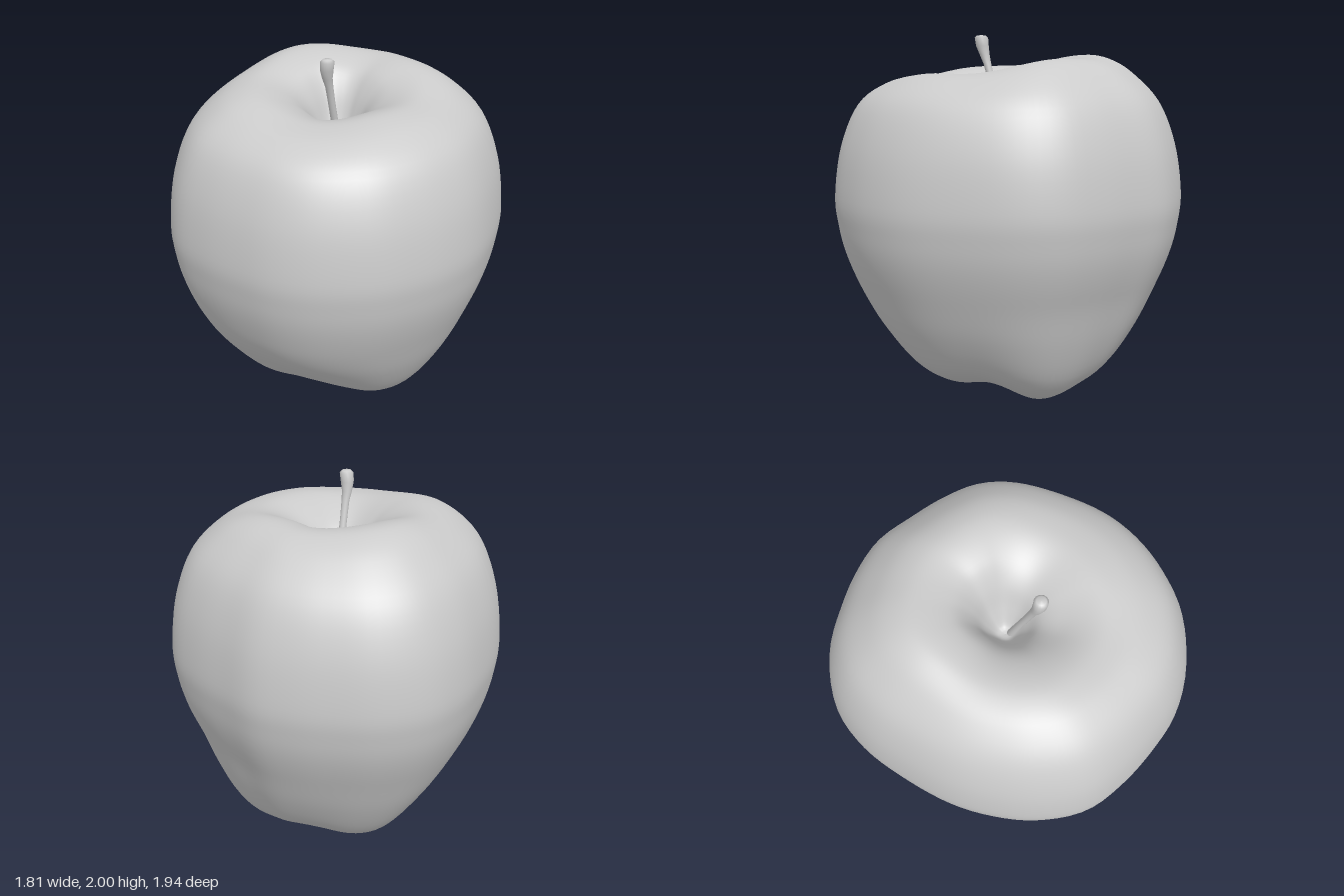
import * as THREE from 'three';

const SIDES = 96;

// Skins a list of rings (top to bottom, each running from +x towards +z) smoothly.
function loft(rings) {
  const n = rings[0].length;
  const index = [];
  for (let j = 0; j < rings.length - 1; j++) {
    for (let i = 0; i < n; i++) {
      const k = (i + 1) % n;
      const a = j * n + i, b = j * n + k, c = a + n, d = b + n;
      index.push(a, b, c, b, d, c);
    }
  }
  const geometry = new THREE.BufferGeometry().setFromPoints(rings.flat());
  geometry.setIndex(index);
  geometry.computeVertexNormals();
  return geometry;
}

// Widest horizontal outline of the fruit, as [x, z]
const outline = new THREE.CatmullRomCurve3([
  [0.9, 0.05], [0.87, 0.3], [0.79, 0.5], [0.68, 0.66], [0.5, 0.83], [0.22, 0.95],
  [0, 0.97], [-0.2, 0.93], [-0.45, 0.84], [-0.66, 0.71], [-0.81, 0.48], [-0.88, 0.25],
  [-0.905, 0], [-0.87, -0.3], [-0.8, -0.56], [-0.67, -0.77], [-0.45, -0.91],
  [-0.2, -0.96], [0, -0.97], [0.2, -0.94], [0.4, -0.83], [0.6, -0.7], [0.77, -0.54],
  [0.87, -0.32],
].map(([x, z]) => new THREE.Vector3(x, 0, z)), true);

// Profile from the stem hollow over the shoulder to the base hollow, as [scale, y]
const profile = new THREE.SplineCurve([
  [0, 1.42], [0.05, 1.44], [0.11, 1.54], [0.18, 1.67], [0.28, 1.765], [0.42, 1.82],
  [0.55, 1.822], [0.7, 1.765], [0.86, 1.625], [0.96, 1.39], [1, 1.12], [0.985, 0.95],
  [0.945, 0.79], [0.865, 0.6], [0.755, 0.4], [0.6, 0.2], [0.45, 0.1], [0.31, 0.066],
  [0.2, 0.1], [0.1, 0.17], [0, 0.2],
].map(([s, y]) => new THREE.Vector2(s, y)));

function createFruit() {
  const around = outline.getSpacedPoints(SIDES).slice(0, SIDES);
  const smooth = THREE.MathUtils.smoothstep;
  const rings = profile.getPoints(100).map(({ x: s, y }) => {
    const top = smooth(y, 1.3, 1.8) * (1 - 0.8 * smooth(s, 0.5, 0.9));
    const base = 1 - smooth(y, 0.05, 0.65);
    const edge = smooth(s, 0.02, 0.3); // keeps both poles closed
    const hollow = y > 1 ? 1 - smooth(s, 0, 0.4) : 0;
    return around.map((p) => {
      const a = Math.atan2(p.z, p.x);
      const lobe = -Math.cos(4 * a);
      // Uneven shoulder, high at the back; four lobes below, lowest at the back
      const lift = top * (0.055 * Math.cos(a + 1.92) + 0.012 * lobe)
        + base * (0.045 * Math.sin(a) - 0.03 * lobe);
      const r = s * (1 + 0.015 * base * lobe);
      return new THREE.Vector3(
        p.x * r + 0.05 * base - 0.02 * hollow,
        y + lift * edge,
        p.z * r - 0.04 * base - 0.03 * hollow,
      );
    });
  });
  return loft(rings);
}

// Leaning stem that swells to a blunt tip: [x, y, z, radius]
function createStem() {
  const sections = [
    [-0.005, 2, 0.155, 0], [-0.005, 1.998, 0.155, 0.025], [-0.005, 1.985, 0.154, 0.038],
    [-0.01, 1.94, 0.15, 0.036], [-0.012, 1.89, 0.137, 0.028], [-0.008, 1.84, 0.12, 0.022],
    [-0.005, 1.76, 0.098, 0.02], [0, 1.6, 0.05, 0.02], [0, 1.4, -0.01, 0.024],
  ];
  return loft(sections.map(([x, y, z, r]) => Array.from({ length: 16 }, (_, i) => {
    const a = (i / 16) * Math.PI * 2;
    return new THREE.Vector3(x + r * Math.cos(a), y, z + r * Math.sin(a));
  })));
}

export function createModel() {
  const group = new THREE.Group();
  group.name = 'apple';
  const material = new THREE.MeshStandardMaterial({ color: 0xcccccc });
  for (const [name, geometry] of [['fruit', createFruit()], ['stem', createStem()]]) {
    const mesh = new THREE.Mesh(geometry, material);
    mesh.name = name;
    group.add(mesh);
  }
  return group;
}
